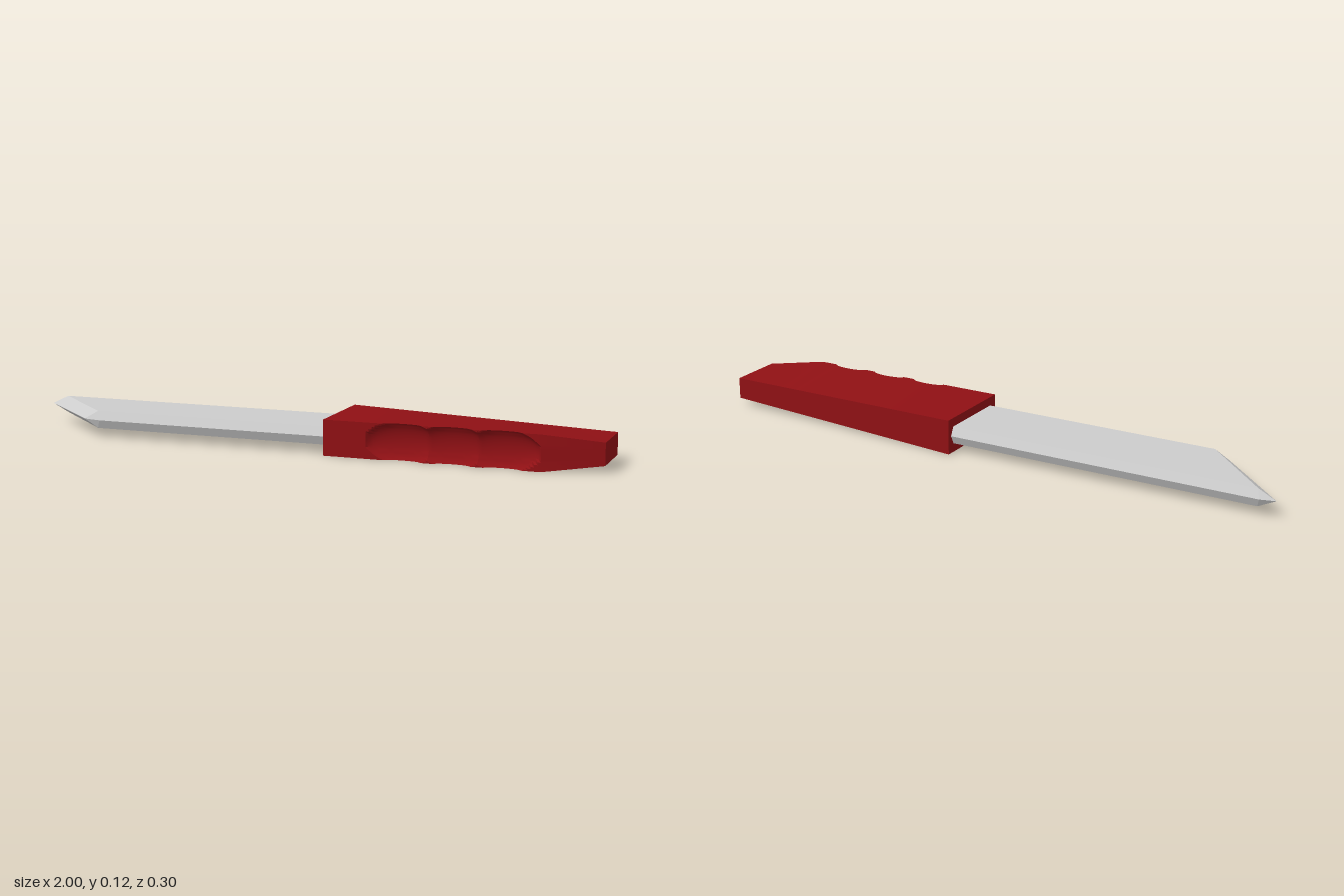
import * as THREE from 'three';
import { toCreasedNormals } from 'three/addons/utils/BufferGeometryUtils.js';
import { ConvexGeometry } from 'three/addons/geometries/ConvexGeometry.js';

const MID = 0.058;
const START = 0.113, END = 1, TAPER = 0.815;
const GRIPS = [0.375, 0.535, 0.695];
const ROWS = 18;

// Depth of the three overlapping finger grooves in the front of the handle
function grooveDepth(x, y) {
  let depth = 0;
  for (const cx of GRIPS) {
    const u = (x - cx) / 0.12, v = (y - MID) / 0.067;
    depth = Math.max(depth, 0.035 * Math.sqrt(Math.max(0, 1 - u * u - v * v)));
  }
  return depth;
}

// Handle cross-section at x: two back corners, then a column down the front
function handleSection(x) {
  const lerp = THREE.MathUtils.lerp;
  const back = (x - START) / (END - START);
  const front = Math.max(0, (x - TAPER) / (END - TAPER));
  const backZ = lerp(-0.15, -0.093, back);
  const backHalf = lerp(MID, 0.036, back);
  const frontHalf = lerp(MID, 0.036, front);
  const ring = [[x, MID - backHalf, backZ], [x, MID + backHalf, backZ]];
  for (let i = 0; i <= ROWS; i++) {
    const y = MID + frontHalf * Math.cos((i / ROWS) * Math.PI);
    ring.push([x, y, lerp(0.147, 0.092, front) - grooveDepth(x, y)]);
  }
  return ring;
}

function handleGeometry() {
  const xs = [START];
  for (let i = 0; i <= 56; i++) xs.push(0.255 + i * 0.01);
  xs.push(END);
  const rings = xs.map(handleSection);
  const n = rings[0].length;
  const pos = [];
  const tri = (a, b, c) => pos.push(...a, ...b, ...c);
  for (let i = 0; i < rings.length - 1; i++) {
    for (let j = 0; j < n; j++) {
      const k = (j + 1) % n;
      const a = rings[i][j], b = rings[i][k], c = rings[i + 1][k], d = rings[i + 1][j];
      tri(a, b, c);
      tri(a, c, d);
    }
  }
  // End caps
  const first = rings[0], last = rings[rings.length - 1];
  for (let j = 1; j < n - 1; j++) {
    tri(first[0], first[j + 1], first[j]);
    tri(last[0], last[j], last[j + 1]);
  }
  const geo = new THREE.BufferGeometry();
  geo.setAttribute('position', new THREE.Float32BufferAttribute(pos, 3));
  return toCreasedNormals(geo, 0.5);
}

// Blade: mid-height outline, with smaller flats above and below forming bevels
function bladeGeometry() {
  const outline = [[-1, -0.122], [-0.75, 0.115], [-0.69, 0.129], [0.13, 0.129], [0.13, -0.135], [-0.95, -0.135]];
  const flat = [[-0.94, -0.12], [-0.7, 0.114], [0.13, 0.114], [0.13, -0.12]];
  const points = outline.map(([x, z]) => new THREE.Vector3(x, MID, z));
  for (const y of [MID - 0.029, MID + 0.029]) {
    for (const [x, z] of flat) points.push(new THREE.Vector3(x, y, z));
  }
  return new ConvexGeometry(points);
}

export function createModel() {
  const model = new THREE.Group();
  model.name = 'knife';

  const blade = new THREE.Mesh(bladeGeometry(),
    new THREE.MeshStandardMaterial({ color: 0xcccccc, flatShading: true }));
  blade.name = 'blade';

  const handle = new THREE.Mesh(handleGeometry(),
    new THREE.MeshStandardMaterial({ color: 0x8f1014 }));
  handle.name = 'handle';

  model.add(blade, handle);
  return model;
}
